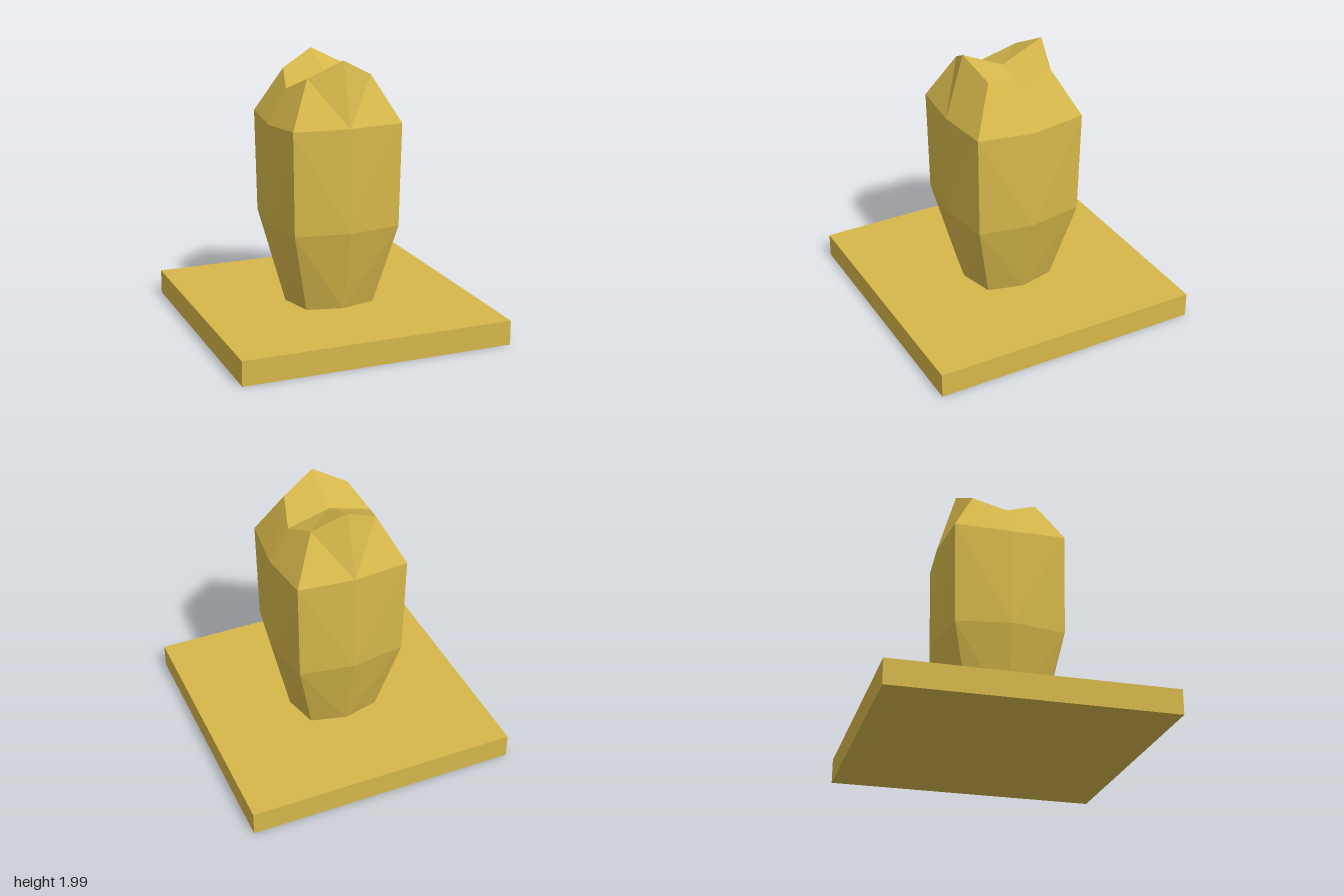
import * as THREE from 'three';

// Eight points around one level: corners at c, front/back mids at mz, side mids at mx
function ring({ c, yc, mx, yx, mz, yz }) {
  return [
    [0, yz, mz], [c, yc, c], [mx, yx, 0], [c, yc, -c],
    [0, yz, -mz], [-c, yc, -c], [-mx, yx, 0], [-c, yc, c],
  ];
}

// Joins the levels with flat facets and closes the top to a centre point
function facetedBody(levels, apex) {
  const rings = levels.map(ring);
  const pos = [];
  const tri = (a, b, c) => pos.push(...a, ...b, ...c);
  for (let k = 0; k < rings.length - 1; k++) {
    const lo = rings[k], hi = rings[k + 1];
    for (let i = 0; i < 8; i++) {
      const j = (i + 1) % 8;
      // mirrored diagonals keep both halves of each side alike
      if (i % 2 === 0) {
        tri(lo[i], lo[j], hi[j]);
        tri(lo[i], hi[j], hi[i]);
      } else {
        tri(lo[i], lo[j], hi[i]);
        tri(lo[j], hi[j], hi[i]);
      }
    }
  }
  const top = rings[rings.length - 1];
  for (let i = 0; i < 8; i++) tri(top[i], top[(i + 1) % 8], apex);
  const g = new THREE.BufferGeometry();
  g.setAttribute('position', new THREE.Float32BufferAttribute(pos, 3));
  g.computeVertexNormals();
  return g;
}

export function createModel() {
  const group = new THREE.Group();
  group.name = 'standingStone';
  const ochre = new THREE.MeshStandardMaterial({ color: 0xd6b74a });
  ochre.name = 'ochre';
  ochre.flatShading = true;

  // Square base slab
  const base = new THREE.Mesh(new THREE.BoxGeometry(2, 0.18, 2), ochre);
  base.name = 'baseSlab';
  base.position.y = 0.09;
  group.add(base);

  // Tapered pillar with a raised peak at front and back and a dip at each side
  const body = new THREE.Mesh(facetedBody([
    { c: 0.258, yc: 0.17, mx: 0.324, yx: 0.17, mz: 0.324, yz: 0.17 },
    { c: 0.398, yc: 0.78, mx: 0.464, yx: 0.78, mz: 0.461, yz: 0.78 },
    { c: 0.41, yc: 1.535, mx: 0.448, yx: 1.512, mz: 0.448, yz: 1.532 },
    { c: 0.241, yc: 1.866, mx: 0.31, yx: 1.76, mz: 0.31, yz: 1.99 },
  ], [0, 1.848, 0]), ochre);
  body.name = 'pillar';
  body.position.z = -0.005;
  group.add(body);

  return group;
}
